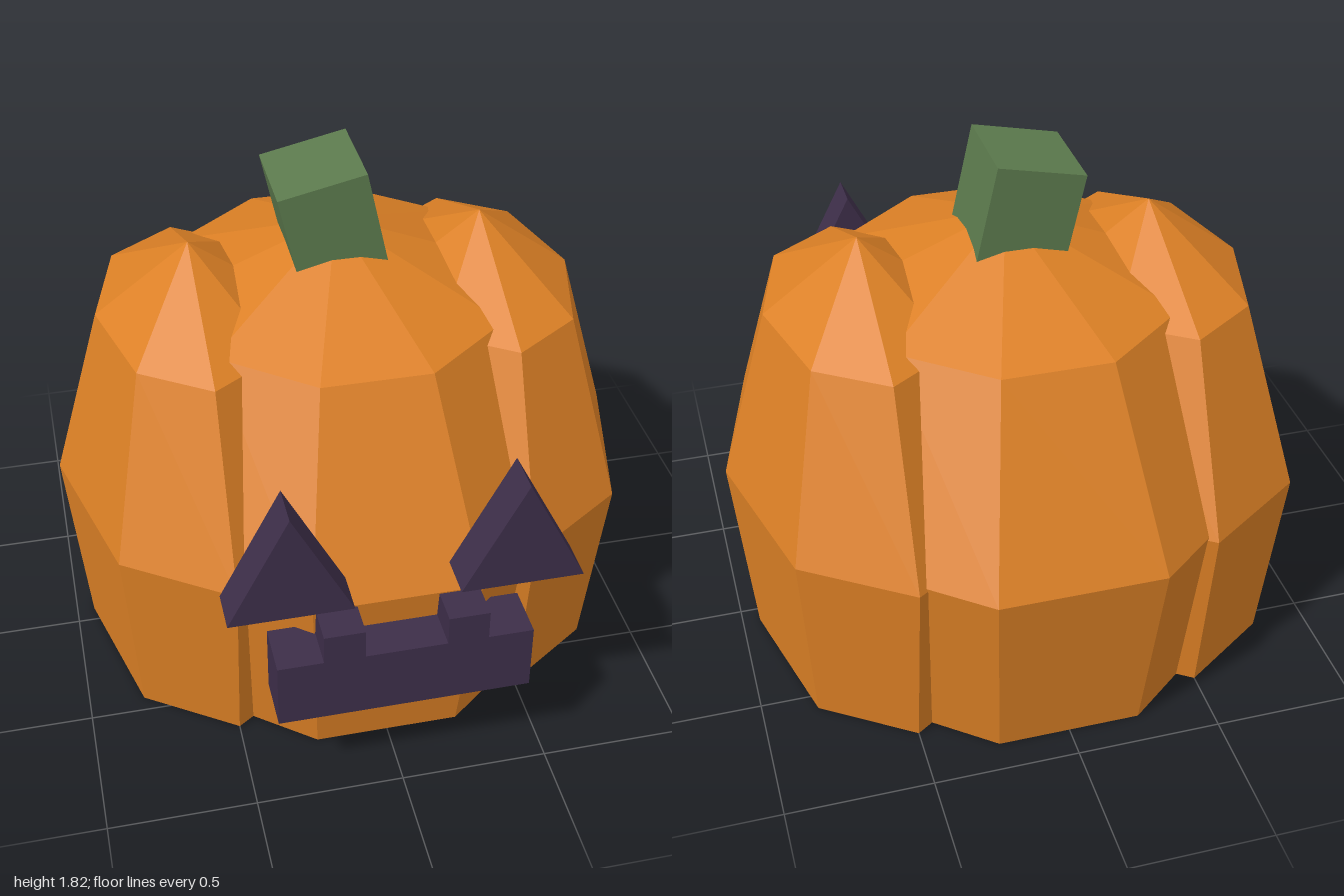
import * as THREE from 'three';

const mat = (name, color) => {
  const m = new THREE.MeshStandardMaterial({ color, flatShading: true });
  m.name = name;
  return m;
};

export function createModel() {
  const orange = mat('pumpkin orange', 0xdc8025);
  const green = mat('stem green', 0x5c7a4d);
  const purple = mat('dark purple', 0x3d2e49);

  const model = new THREE.Group();
  model.name = 'carvedPumpkin';
  const add = (name, geometry, material, x, y, z) => {
    const mesh = new THREE.Mesh(geometry, material);
    mesh.name = name;
    mesh.position.set(x, y, z);
    model.add(mesh);
    return mesh;
  };

  // Faceted lobe: closed profile spun around y, then stretched front to back
  const lobe = (profile, sides, start, stretch) => {
    const points = profile.map(([r, y]) => new THREE.Vector2(r, y));
    return new THREE.LatheGeometry(points, sides, start, Math.PI * 2).scale(1, 1, stretch);
  };
  const midZ = -0.06;
  add('middleLobe',
    lobe([[0, 0], [0.8, 0], [0.907, 0.71], [0.595, 1.34], [0, 1.583]], 10, Math.PI / 10, 1.09),
    orange, 0, 0, midZ);
  for (const [name, side] of [['leftLobe', 1], ['rightLobe', -1]]) {
    add(name,
      lobe([[0, 0], [0.438, 0], [0.5, 0.7], [0.324, 1.31], [0, 1.55]], 8, 0, 1.62),
      orange, side * 0.5, 0, midZ);
  }

  // Leaning square stem
  const stem = add('stem', new THREE.BoxGeometry(0.302, 0.36, 0.33), green, -0.039, 1.612, midZ);
  stem.rotation.z = 0.215;

  // Face pieces: flat outlines given thickness
  const plate = (outline, depth) => new THREE.ExtrudeGeometry(
    new THREE.Shape(outline.map(([x, y]) => new THREE.Vector2(x, y))),
    { depth, bevelEnabled: false });
  for (const [name, side] of [['leftEye', 1], ['rightEye', -1]]) {
    add(name, plate([[-0.2, 0], [0.2, 0], [0, 0.387]], 0.145), purple, side * 0.37, 0.813, 0.855);
  }

  // Mouth with two upward teeth, mirrored about the middle
  const half = [[0.42, 0.36], [0.42, 0.6], [0.27, 0.6], [0.27, 0.705], [0.135, 0.705], [0.135, 0.6]];
  const mouth = [...half, ...half.map(([x, y]) => [-x, y]).reverse()];
  add('mouth', plate(mouth, 0.18), purple, 0, 0, 0.82);

  return model;
}
